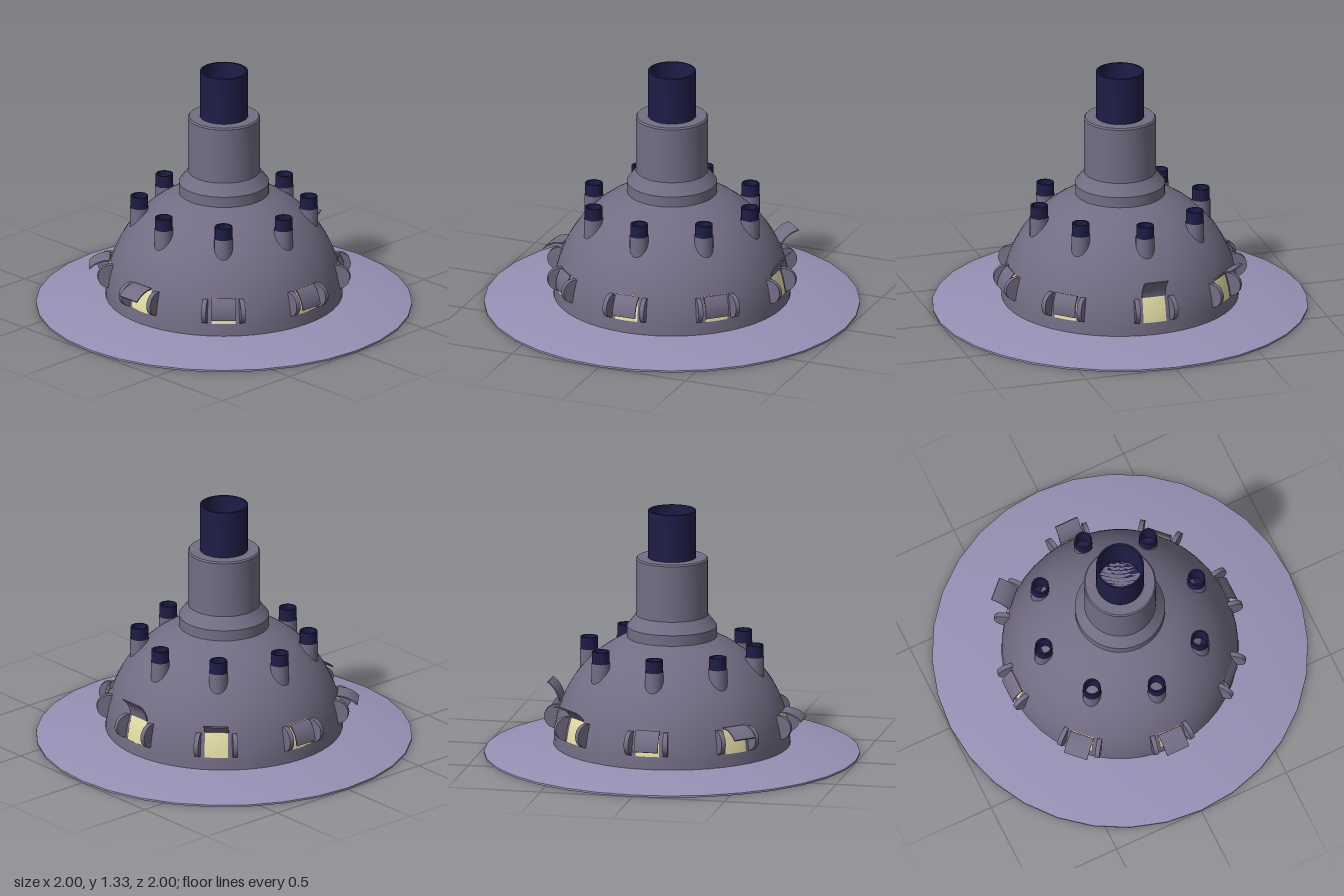
import * as THREE from 'three';
import { toCreasedNormals } from 'three/addons/utils/BufferGeometryUtils.js';

const RAD = Math.PI / 180;
const DOME_Y = 0.06, DOME_R = 0.63;

const mat = (color) => new THREE.MeshStandardMaterial({ color, side: THREE.DoubleSide });

// Lathe from [radius, height] pairs, keeping sharp edges
function turned(points, segments = 32) {
  const geo = new THREE.LatheGeometry(points.map(([r, y]) => new THREE.Vector2(r, y)), segments);
  return toCreasedNormals(geo, 25 * RAD);
}

// Hollow open-topped pipe with a floor at its bottom
function pipe(outer, inner, y0, y1, segments) {
  return turned([[outer, y0], [outer, y1], [inner, y1], [inner, y0], [0, y0]], segments);
}

// Curved plate hanging from its hinge at the origin, bulging towards +z
function shutterGeometry() {
  const length = 0.12, bulge = 0.026, t = 0.007, width = 0.13;
  const s = new THREE.Shape();
  s.moveTo(t, 0);
  s.quadraticCurveTo(t + bulge, -length / 2, t, -length);
  s.lineTo(0, -length);
  s.quadraticCurveTo(bulge, -length / 2, 0, 0);
  const geo = new THREE.ExtrudeGeometry(s, { depth: width, bevelEnabled: false, curveSegments: 8 });
  geo.translate(0, 0, -width / 2);
  geo.rotateY(-Math.PI / 2);
  return toCreasedNormals(geo, 30 * RAD);
}

export function createModel() {
  const model = new THREE.Group();
  const shell = mat(0x736d84), plate = mat(0x9690b4), dark = mat(0x1f1d47), glow = mat(0xe6dfa8);

  const add = (parent, name, geo, material) => {
    const mesh = new THREE.Mesh(geo, material);
    mesh.name = name;
    parent.add(mesh);
    return mesh;
  };

  // Base plate with sloping rim
  add(model, 'basePlate', turned([[0, 0], [1, 0], [1, 0.01], [0.75, 0.06], [0, 0.06]]), plate);

  // Dome
  const domeProfile = [];
  for (let i = 0; i <= 16; i++) {
    const a = (i / 16) * 68 * RAD;
    domeProfile.push([DOME_R * Math.cos(a), DOME_Y + DOME_R * Math.sin(a)]);
  }
  add(model, 'dome', turned(domeProfile, 48), shell);

  // Collar and tower
  add(model, 'tower', turned([
    [0.24, 0.61], [0.24, 0.7], [0.192, 0.762], [0.192, 1.065], [0.185, 1.073], [0, 1.073],
  ], 40), shell);

  // Main chimney
  add(model, 'mainChimney', pipe(0.128, 0.118, 1.073, 1.33, 32), dark);

  // Ring of eight small chimneys
  const sleeveGeo = new THREE.CylinderGeometry(0.05, 0.05, 0.2, 20, 1, true);
  const flueGeo = pipe(0.047, 0.038, 0.5, 0.617, 20);
  for (let i = 0; i < 8; i++) {
    const a = i * 45 * RAD;
    const stack = new THREE.Group();
    stack.name = 'smallChimney';
    stack.position.set(0.45 * Math.sin(a), 0, 0.45 * Math.cos(a));
    stack.rotation.y = a;
    add(stack, 'sleeve', sleeveGeo, shell).position.y = 0.452;
    add(stack, 'flue', flueGeo, dark);
    model.add(stack);
  }

  // Eight windows with shutters, opened by differing angles (from the front, towards +x)
  const openings = [54, 0, 14, 0, 136, 110, 14, 54];
  const paneR = DOME_R + 0.004, half = 5.8 * RAD;
  const theta0 = Math.acos((0.265 - DOME_Y) / paneR), theta1 = Math.acos((0.13 - DOME_Y) / paneR);
  const paneGeo = new THREE.SphereGeometry(paneR, 6, 4, Math.PI / 2 - half, 2 * half, theta0, theta1 - theta0);
  const cheekGeo = new THREE.CylinderGeometry(0.065, 0.065, 0.025, 24).rotateZ(Math.PI / 2);
  const shutterGeo = shutterGeometry();
  openings.forEach((open, i) => {
    const win = new THREE.Group();
    win.name = 'window';
    win.rotation.y = i * 45 * RAD;
    add(win, 'pane', paneGeo, glow).position.y = DOME_Y;
    for (const side of [-1, 1]) {
      const a = side * 9 * RAD;
      const cheek = add(win, 'cheek', cheekGeo, shell);
      cheek.position.set(0.615 * Math.sin(a), 0.195, 0.615 * Math.cos(a));
      cheek.rotation.y = a;
    }
    const shutter = add(win, 'shutter', shutterGeo, shell);
    shutter.position.set(0, 0.265, 0.603);
    shutter.rotation.x = -(13 + open) * RAD;
    model.add(win);
  });

  return model;
}
